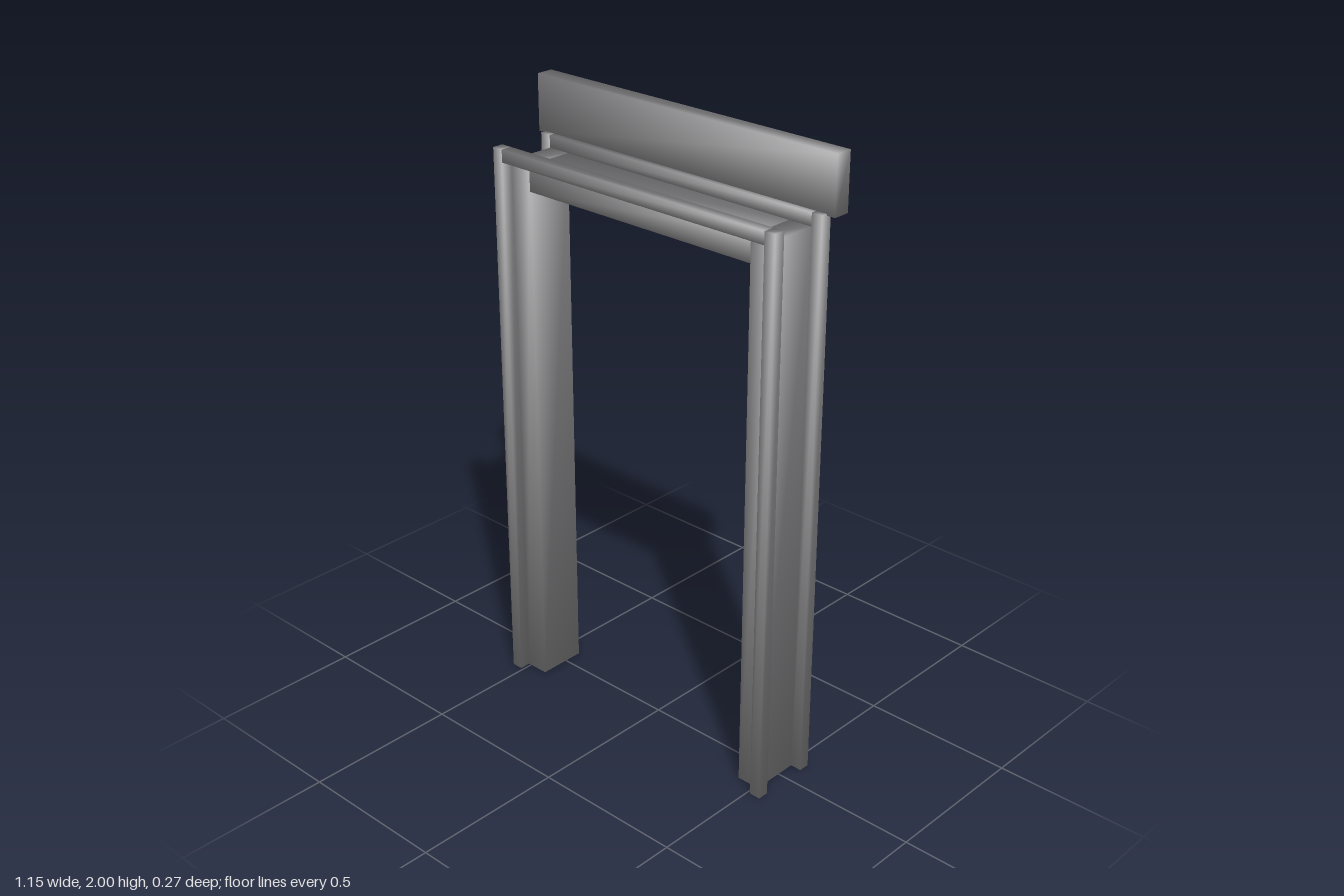
import * as THREE from 'three';

const material = new THREE.MeshStandardMaterial({ color: 0x7e7e80 });

// Box given by its [min, max] range on each axis; normals point out through the corners for soft shading
function softBox(name, [x0, x1], [y0, y1], [z0, z1]) {
  const geometry = new THREE.BoxGeometry(x1 - x0, y1 - y0, z1 - z0);
  const { position, normal } = geometry.attributes;
  const corner = new THREE.Vector3();
  for (let i = 0; i < position.count; i++) {
    corner.set(Math.sign(position.getX(i)), Math.sign(position.getY(i)), Math.sign(position.getZ(i))).normalize();
    normal.setXYZ(i, corner.x, corner.y, corner.z);
  }
  geometry.translate((x0 + x1) / 2, (y0 + y1) / 2, (z0 + z1) / 2);
  const mesh = new THREE.Mesh(geometry, material);
  mesh.name = name;
  return mesh;
}

export function createModel() {
  const model = new THREE.Group();
  model.name = 'doorFrame';

  const inner = 0.432, outer = 0.51, trimOuter = 0.547;
  const headBottom = 1.703, headTop = 1.785, trimTop = 1.825;
  const depth = [-0.062, 0.099];
  const trims = { Front: [0.099, 0.136], Back: [-0.098, -0.062] };

  // Lining: head between two jambs
  model.add(softBox('headLining', [-inner, inner], [headBottom, headTop], depth));
  for (const [side, s] of [['left', 1], ['right', -1]]) {
    const span = (a, b) => (s > 0 ? [a, b] : [-b, -a]);
    model.add(softBox(`${side}Jamb`, span(inner, outer), [0, headTop], depth));

    // Upright trim strips along the outer edges of each jamb
    for (const [face, z] of Object.entries(trims)) {
      model.add(softBox(`${side}${face}Trim`, span(outer, trimOuter), [0, trimTop], z));
    }
  }

  // Horizontal trim strips over the head
  for (const [face, z] of Object.entries(trims)) {
    model.add(softBox(`head${face}Trim`, [-outer, outer], [headTop, trimTop], z));
  }

  // Rail cover board above the opening, at the back
  model.add(softBox('coverBoard', [-0.575, 0.575], [1.82, 2], [-0.137, -0.081]));
  return model;
}
